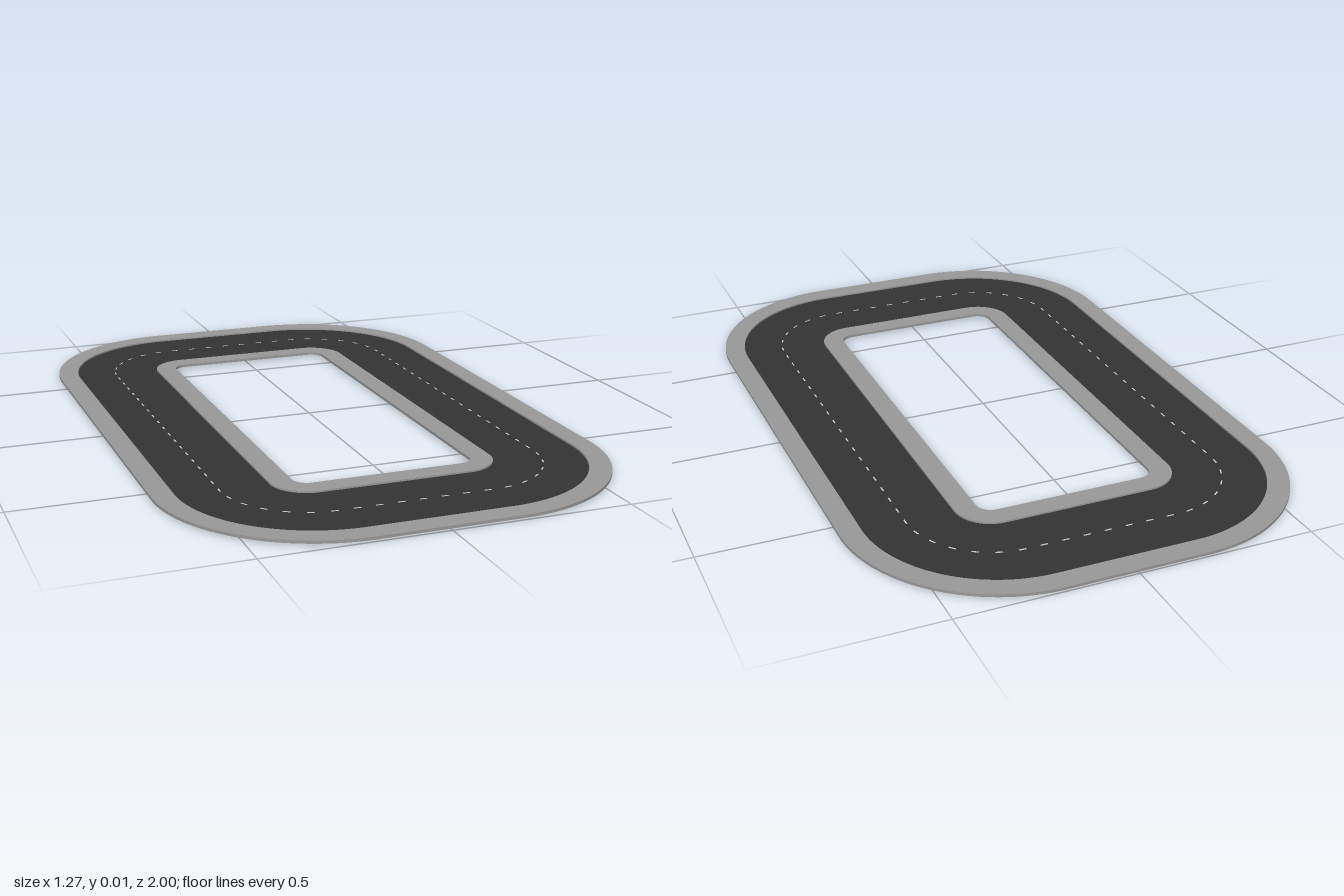
import * as THREE from 'three';

// Rounded rectangle outline from half sizes and corner radius
function outline(path, hx, hz, r) {
  const cx = hx - r, cz = hz - r;
  path.moveTo(hx, -cz);
  path.absarc(cx, cz, r, 0, Math.PI / 2);
  path.absarc(-cx, cz, r, Math.PI / 2, Math.PI);
  path.absarc(-cx, -cz, r, Math.PI, Math.PI * 1.5);
  path.absarc(cx, -cz, r, Math.PI * 1.5, Math.PI * 2);
  path.closePath();
  return path;
}

// Flat closed ring lying between heights y0 and y1
function ring(name, outer, inner, y0, y1, material) {
  const shape = outline(new THREE.Shape(), ...outer);
  shape.holes.push(outline(new THREE.Path(), ...inner));
  const geometry = new THREE.ExtrudeGeometry(shape, { depth: y1 - y0, bevelEnabled: false, curveSegments: 24 });
  geometry.rotateX(-Math.PI / 2);
  geometry.translate(0, y0, 0);
  const mesh = new THREE.Mesh(geometry, material);
  mesh.name = name;
  return mesh;
}

export function createModel() {
  const model = new THREE.Group();
  model.name = 'roadLoop';
  const asphalt = new THREE.MeshStandardMaterial({ color: 0x333333 });
  const concrete = new THREE.MeshStandardMaterial({ color: 0x999999 });
  const paint = new THREE.MeshStandardMaterial({ color: 0xffffff });
  const roadTop = 0.008;

  // Road and the raised pavements along both of its edges
  model.add(
    ring('road', [0.592, 0.936, 0.376], [0.32, 0.664, 0.104], 0, roadTop, asphalt),
    ring('outerPavement', [0.637, 1, 0.44], [0.576, 0.936, 0.376], 0.005, 0.013, concrete),
    ring('innerPavement', [0.32, 0.664, 0.104], [0.257, 0.602, 0.042], 0.005, 0.013, concrete)
  );

  // Dashed line along the middle of the road
  const dashes = new THREE.Group();
  dashes.name = 'centreLine';
  const middle = outline(new THREE.Path(), 0.456, 0.8, 0.24);
  const dash = new THREE.BoxGeometry(0.02, 0.001, 0.004);
  const count = 76;
  for (let i = 0; i < count; i++) {
    const p = middle.getPointAt(i / count);
    const t = middle.getTangentAt(i / count);
    const mesh = new THREE.Mesh(dash, paint);
    mesh.name = 'dash';
    mesh.position.set(p.x, roadTop + 0.0004, -p.y);
    mesh.rotation.y = Math.atan2(t.y, t.x);
    dashes.add(mesh);
  }
  model.add(dashes);
  return model;
}
